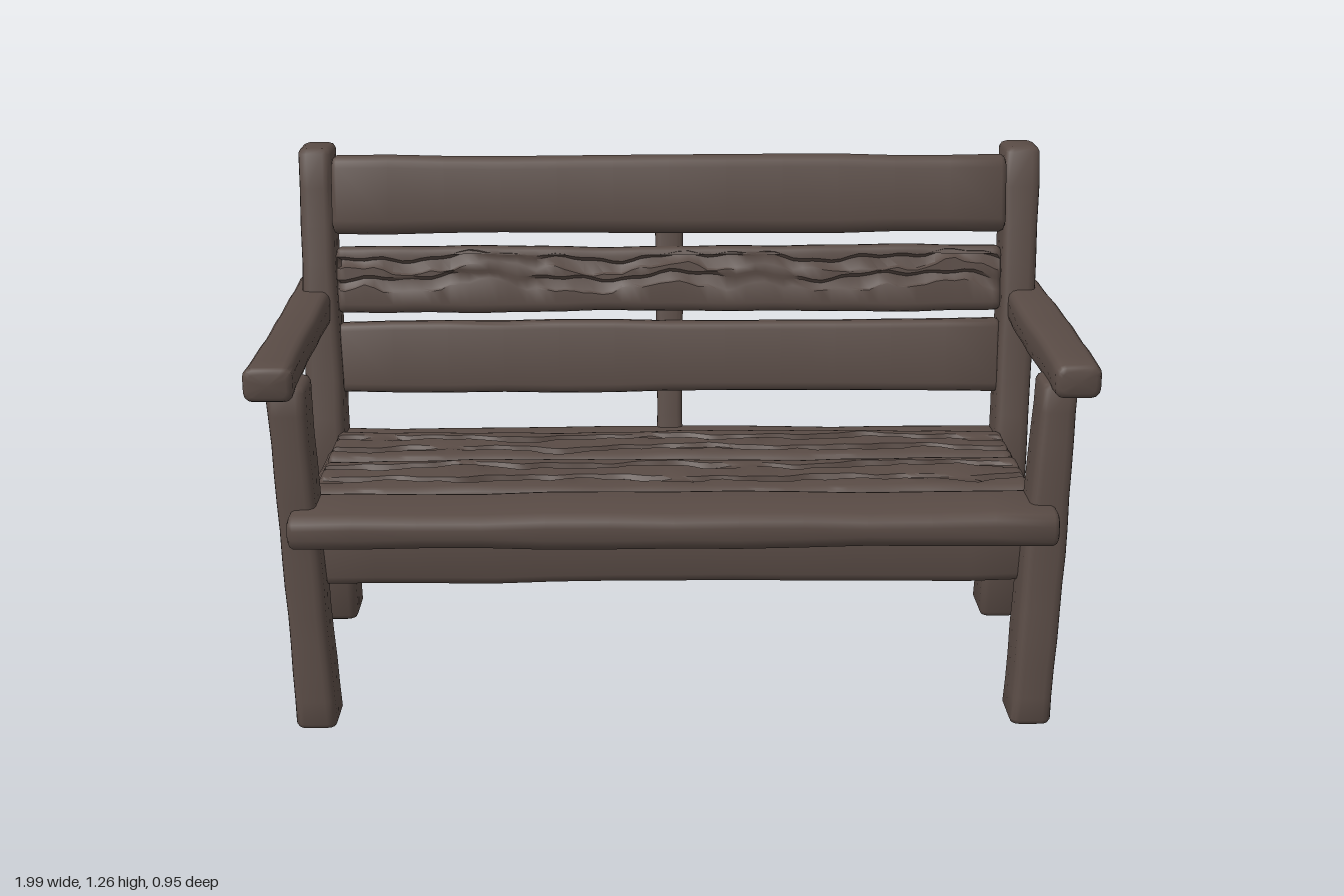
import * as THREE from 'three';
import { toCreasedNormals } from 'three/addons/utils/BufferGeometryUtils.js';

const wood = new THREE.MeshStandardMaterial({ color: 0x594b45 });
wood.name = 'dark wood';

const X = new THREE.Vector3(1, 0, 0);
const Y = new THREE.Vector3(0, 1, 0);
const Z = new THREE.Vector3(0, 0, 1);
const LEAN = new THREE.Vector3(0, 0.19, 1).normalize(); // normal of the leaning back

// Smooth irregular value in about -1..1
const wobble = (t, seed) =>
  0.5 * Math.sin(t * 5.3 + seed * 1.7) + 0.3 * Math.sin(t * 12.1 + seed * 3.1) + 0.2 * Math.sin(t * 27.7 + seed * 5.3);

// Rounded rectangle, counter-clockwise; cracks are cut in its +u face
function section(u, v, r, cracks, t, inset) {
  const pts = [];
  [[1, 1, 0], [-1, 1, 1], [-1, -1, 2], [1, -1, 3]].forEach(([su, sv, q]) => {
    for (let i = 0; i < 4; i++) {
      const a = (q + i / 3) * Math.PI / 2;
      pts.push([su * (u - r) + r * Math.cos(a), sv * (v - r) + r * Math.sin(a)]);
    }
  });
  cracks.forEach(({ at, depth, seed }) => {
    const c = at + 0.018 * wobble(t * 2, seed);
    const d = inset ? 0.004 : depth * Math.max(0.05, 0.6 + 0.6 * wobble(t * 1.6, seed + 4));
    const w = 0.022 + 0.014 * wobble(t * 3, seed + 2);
    pts.push([u, c - 0.008], [u - d, c], [u - d * 0.55, c + w], [u, c + w + 0.006]);
  });
  return pts;
}

// Hewn beam: stations are [x, y, z, halfU, halfV], swept along the given axis
function beam(name, axis, U, stations, { r = 0.022, cracks = [], steps = 12, rough = 0.004, seed = 1 } = {}) {
  const V = new THREE.Vector3().crossVectors(axis, U);
  const lerpStation = t => {
    const f = t * (stations.length - 1);
    const i = Math.min(Math.floor(f), stations.length - 2);
    return stations[i].map((a, k) => THREE.MathUtils.lerp(a, stations[i + 1][k], f - i));
  };
  // the end rings are drawn in to round off the ends
  const length = stations.length > 2 ? 1.28
    : new THREE.Vector3(...stations[0]).distanceTo(new THREE.Vector3(...stations[1]));
  const e = 0.014 / length;
  const rings = [[0, 0.014], [e * 0.3, 0.005], [e, 0]];
  for (let i = 1; i < steps; i++) rings.push([i / steps, 0]);
  rings.push([1 - e, 0], [1 - e * 0.3, 0.005], [1, 0.014]);

  const pos = [], index = [];
  let n = 0;
  const add = (p, a, b) => pos.push(
    p[0] + U.x * a + V.x * b, p[1] + U.y * a + V.y * b, p[2] + U.z * a + V.z * b);
  rings.forEach(([t, inset]) => {
    const s = lerpStation(t);
    const l = t * length;
    const u = s[3] - inset + rough * wobble(l, seed);
    const v = s[4] - inset + rough * wobble(l, seed + 7);
    const pts = section(u, v, Math.max(0.008, r - inset * 0.5), cracks, l, inset > 0);
    n = pts.length;
    pts.forEach(([a, b]) => add(s, a, b));
  });
  const last = (rings.length - 1) * n;
  for (let k = 0; k < rings.length - 1; k++) {
    for (let j = 0; j < n; j++) {
      const a = k * n + j, b = k * n + (j + 1) % n;
      index.push(a, b, b + n, a, b + n, a + n);
    }
  }
  // end caps
  const c0 = pos.length / 3;
  add(lerpStation(0), 0, 0);
  add(lerpStation(1), 0, 0);
  for (let j = 0; j < n; j++) {
    const k = (j + 1) % n;
    index.push(c0, k, j, c0 + 1, last + j, last + k);
  }
  const geo = new THREE.BufferGeometry();
  geo.setAttribute('position', new THREE.Float32BufferAttribute(pos, 3));
  geo.setIndex(index);
  const mesh = new THREE.Mesh(toCreasedNormals(geo, 0.75), wood);
  mesh.name = name;
  return mesh;
}

// Board running across the bench
const board = (name, normal, halfLength, y, z, thick, wide, options) =>
  beam(name, X, normal, [[-halfLength, y, z, thick, wide], [halfLength, y, z, thick, wide]], options);

export function createModel() {
  const bench = new THREE.Group();
  bench.name = 'bench';

  // Legs, side rails and armrests on both sides
  [[1, 'left'], [-1, 'right']].forEach(([s, side]) => {
    const seed = s + 3;
    bench.add(
      beam(side + 'FrontLeg', Y, Z, [
        [s * 0.86, 0.005, 0.395, 0.068, 0.049],
        [s * 0.908, 0.84, 0.315, 0.064, 0.045]], { seed }),
      beam(side + 'BackPost', Y, Z, [
        [s * 0.895, 0.005, -0.288, 0.074, 0.05],
        [s * 0.902, 0.48, -0.255, 0.067, 0.046],
        [s * 0.915, 0.875, -0.327, 0.066, 0.045],
        [s * 0.922, 1.27, -0.408, 0.064, 0.044]], { seed: seed + 1 }),
      beam(side + 'SideRail', Z, X, [
        [s * 0.86, 0.425, -0.22, 0.04, 0.075],
        [s * 0.86, 0.435, 0.33, 0.04, 0.065]], { seed: seed + 2 }),
      beam(side + 'Armrest', Z, X, [
        [s * 0.94, 0.865, -0.465, 0.052, 0.044],
        [s * 0.935, 0.86, 0.437, 0.055, 0.042]], { seed: seed + 3 }));
  });

  // Seat planks
  bench.add(
    board('frontSeatPlank', Y, 0.905, 0.507, 0.372, 0.043, 0.103, { r: 0.03, seed: 2 }),
    board('middleSeatPlank', Y, 0.875, 0.5, 0.131, 0.044, 0.121, {
      seed: 3, steps: 70,
      cracks: [{ at: -0.07, depth: 0.03, seed: 1 }, { at: 0.03, depth: 0.03, seed: 6 }]
    }),
    board('rearSeatPlank', Y, 0.875, 0.5, -0.12, 0.042, 0.11, {
      seed: 5, steps: 70,
      cracks: [{ at: -0.055, depth: 0.03, seed: 9 }, { at: 0.035, depth: 0.03, seed: 12 }]
    }));

  // Aprons under the seat
  bench.add(
    board('frontApron', Z, 0.86, 0.405, 0.315, 0.038, 0.07, { seed: 4 }),
    board('backApron', Z, 0.87, 0.432, -0.272, 0.042, 0.097, { seed: 6 }));

  // Leaning back boards
  bench.add(
    board('lowerBackBoard', LEAN, 0.875, 0.725, -0.3, 0.036, 0.094, { seed: 7 }),
    board('middleBackBoard', LEAN, 0.875, 0.925, -0.34, 0.036, 0.086, {
      seed: 8, steps: 70,
      cracks: [{ at: -0.055, depth: 0.022, seed: 15 }, { at: -0.005, depth: 0.015, seed: 19 }]
    }),
    board('topBackBoard', LEAN, 0.875, 1.146, -0.369, 0.08, 0.101, { r: 0.034, seed: 9 }));

  // Upright brace behind the back boards
  bench.add(beam('centreBrace', Y, Z, [
    [0, 0.46, -0.293, 0.032, 0.036],
    [0, 1.09, -0.432, 0.032, 0.036]], { r: 0.015, seed: 10 }));

  return bench;
}
